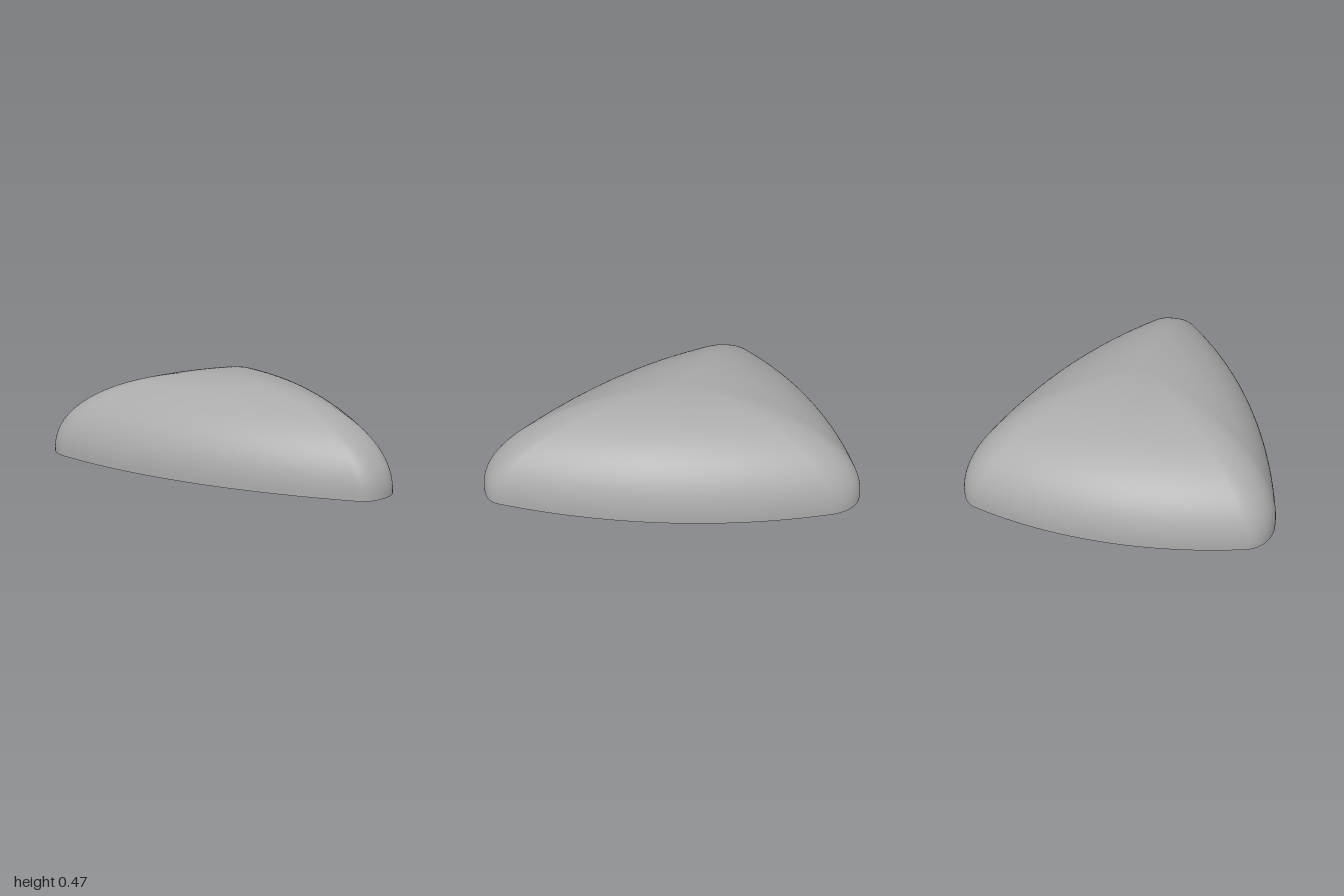
import * as THREE from 'three';

const HEIGHT = 0.465;
const APEX_Z = -0.15;
const POWER = 2.2; // fullness of the dome profile
const RINGS = 40;

// Rounded, bulging triangle in (x, z): nose at +z, wide end at -z
function footprint() {
  const p = new THREE.Path();
  p.moveTo(0, 1);
  p.bezierCurveTo(0.05, 1, 0.095, 0.99, 0.13, 0.94);
  p.quadraticCurveTo(0.664, 0.2, 0.783, -0.66);
  p.bezierCurveTo(0.802, -0.78, 0.75, -0.88, 0.66, -0.905);
  p.quadraticCurveTo(0.33, -1, 0, -1);
  const half = p.getPoints(24);
  const mirrored = half.slice(1, -1).reverse().map((v) => new THREE.Vector2(-v.x, v.y));
  return half.concat(mirrored);
}

function buildGeometry(positions, indices) {
  const g = new THREE.BufferGeometry();
  g.setAttribute('position', new THREE.Float32BufferAttribute(positions, 3));
  g.setIndex(indices);
  g.computeVertexNormals();
  return g;
}

// Footprint shrinks towards the apex along a superellipse profile
function domeGeometry(outline) {
  const n = outline.length;
  const pos = [];
  const idx = [];
  for (let j = 0; j < RINGS; j++) {
    const a = (j / RINGS) * Math.PI / 2;
    const s = Math.cos(a) ** (2 / POWER);
    const y = HEIGHT * Math.sin(a) ** (2 / POWER);
    for (const v of outline) pos.push(v.x * s, y, APEX_Z + (v.y - APEX_Z) * s);
  }
  const apex = n * RINGS;
  pos.push(0, HEIGHT, APEX_Z);
  for (let j = 0; j < RINGS; j++) {
    for (let i = 0; i < n; i++) {
      const k = (i + 1) % n;
      const a = j * n + i;
      const b = j * n + k;
      if (j === RINGS - 1) idx.push(a, b, apex);
      else idx.push(a, b, b + n, a, b + n, a + n);
    }
  }
  return buildGeometry(pos, idx);
}

// Flat underside, facing down
function baseGeometry(outline) {
  const n = outline.length;
  const pos = [0, 0, APEX_Z];
  const idx = [];
  outline.forEach((v, i) => {
    pos.push(v.x, 0, v.y);
    idx.push(0, 1 + ((i + 1) % n), 1 + i);
  });
  return buildGeometry(pos, idx);
}

export function createModel() {
  const grey = new THREE.MeshStandardMaterial({ color: 0xaaaaaa });
  grey.name = 'grey';
  const outline = footprint();

  const dome = new THREE.Mesh(domeGeometry(outline), grey);
  dome.name = 'domedShell';
  const base = new THREE.Mesh(baseGeometry(outline), grey);
  base.name = 'flatBase';

  const group = new THREE.Group();
  group.name = 'roundedTriangularDome';
  group.add(dome, base);
  return group;
}
